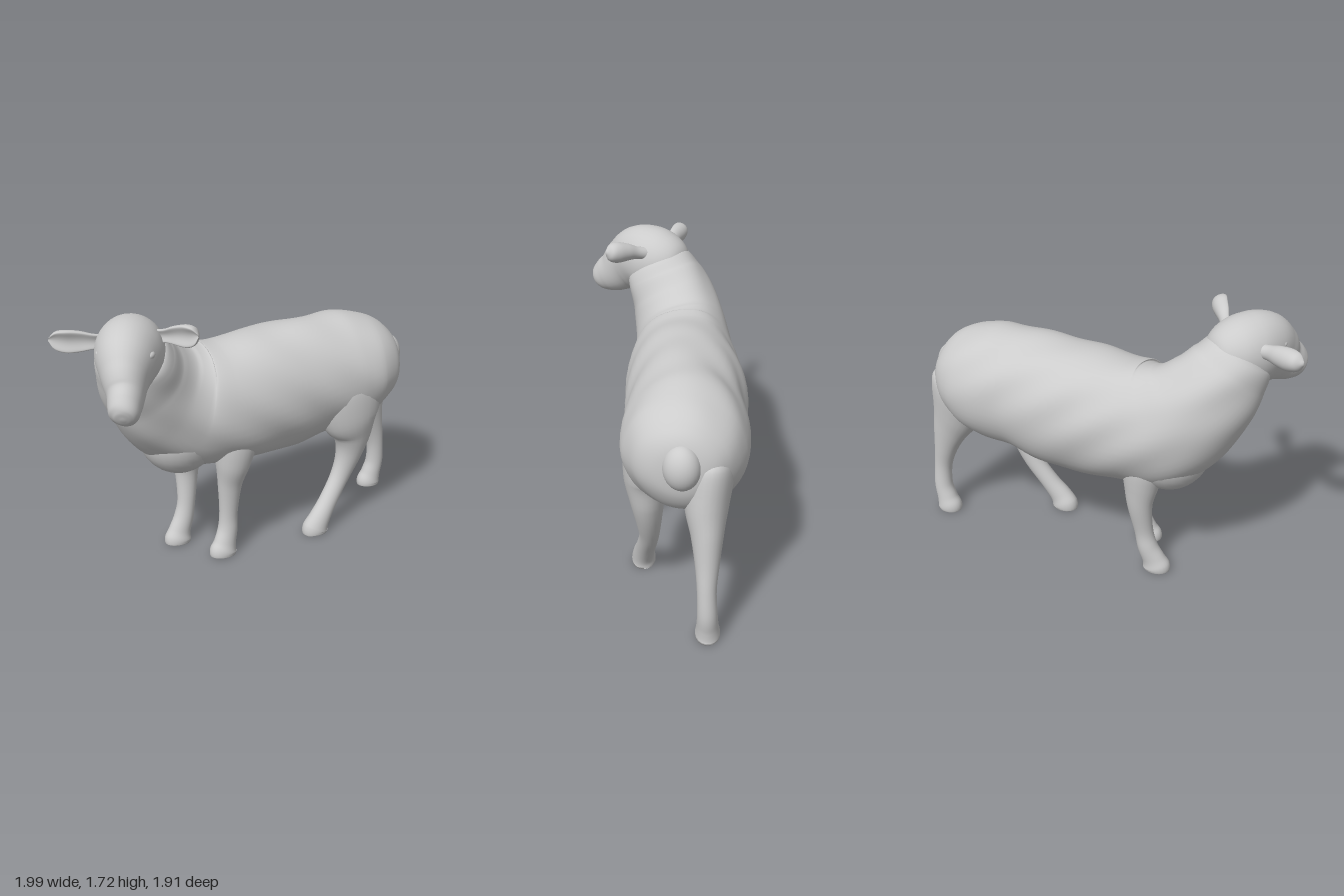
import * as THREE from 'three';

const material = new THREE.MeshStandardMaterial({ color: 0xcccccc, roughness: 0.9 });

// Smooth tube through rings [x, y, z, halfWidth, halfDepth, yaw of the width axis].
// dent hollows the +width side; lumps adds a soft woolly unevenness.
function loft(name, rings, { steps = 6, sides = 32, dent = 0, lumps = 0 } = {}) {
  const path = new THREE.CatmullRomCurve3(rings.map(r => new THREE.Vector3(r[0], r[1], r[2])), false, 'catmullrom');
  const size = new THREE.CatmullRomCurve3(rings.map(r => new THREE.Vector3(r[3], r[4], r[5])), false, 'catmullrom');
  const rows = (rings.length - 1) * steps;
  const pos = [], index = [];
  const put = p => pos.push(p.x, Math.max(p.y, 0.01), p.z);
  for (let i = 0; i <= rows; i++) {
    const c = path.getPoint(i / rows), t = path.getTangent(i / rows), k = size.getPoint(i / rows);
    const side = new THREE.Vector3(Math.cos(k.z), 0, Math.sin(k.z));
    const v = new THREE.Vector3().crossVectors(t, side).normalize();
    side.crossVectors(v, t).normalize();
    for (let j = 0; j < sides; j++) {
      const a = (j / sides) * Math.PI * 2, cos = Math.cos(a);
      const p = c.clone()
        .addScaledVector(side, Math.max(k.x, 0.004) * cos * (1 - dent * Math.max(0, cos)))
        .addScaledVector(v, Math.max(k.y, 0.004) * Math.sin(a));
      const bump = lumps * (Math.sin(13 * p.x + 9 * p.y) * Math.sin(11 * p.z - 8 * p.y) + 0.5 * Math.sin(23 * p.y + 17 * p.x));
      p.addScaledVector(p.clone().sub(c).normalize(), bump);
      put(p);
    }
  }
  for (let i = 0; i < rows; i++) {
    for (let j = 0; j < sides; j++) {
      const a = i * sides + j, b = i * sides + (j + 1) % sides;
      index.push(a, b, a + sides, b, b + sides, a + sides);
    }
  }
  // end caps
  const first = pos.length / 3, last = first + 1, base = rows * sides;
  put(path.getPoint(0));
  put(path.getPoint(1));
  for (let j = 0; j < sides; j++) {
    const n = (j + 1) % sides;
    index.push(first, n, j, last, base + j, base + n);
  }
  const g = new THREE.BufferGeometry();
  g.setAttribute('position', new THREE.Float32BufferAttribute(pos, 3));
  g.setIndex(index);
  g.computeVertexNormals();
  const mesh = new THREE.Mesh(g, material);
  mesh.name = name;
  return mesh;
}

function blob(name, [x, y, z], [rx, ry, rz], yaw = 0) {
  const mesh = new THREE.Mesh(new THREE.SphereGeometry(1, 32, 20), material);
  mesh.position.set(x, y, z);
  mesh.scale.set(rx, ry, rz);
  mesh.rotation.y = yaw;
  mesh.name = name;
  return mesh;
}

export function createModel() {
  const group = new THREE.Group();
  group.name = 'sheep';
  const Y = 0.94; // the body stands diagonally

  // woolly torso rising into the neck, rump first
  group.add(loft('torsoAndNeck', [
    [0.94, 1.05, -0.73, 0.02, 0.02, Y],
    [0.92, 1.05, -0.72, 0.15, 0.16, Y],
    [0.86, 1.05, -0.69, 0.25, 0.25, Y],
    [0.74, 1.05, -0.63, 0.33, 0.33, Y],
    [0.60, 1.04, -0.55, 0.35, 0.38, Y],
    [0.42, 1.03, -0.42, 0.34, 0.39, Y],
    [0.20, 1.01, -0.28, 0.36, 0.41, Y],
    [0.00, 1.00, -0.13, 0.355, 0.40, Y],
    [-0.18, 1.00, 0.00, 0.335, 0.39, Y],
    [-0.33, 1.03, 0.10, 0.31, 0.38, 0.85],
    [-0.45, 1.13, 0.21, 0.285, 0.34, 0.6],
    [-0.525, 1.28, 0.32, 0.26, 0.285, 0.3],
    [-0.55, 1.41, 0.41, 0.235, 0.245, 0.05],
    [-0.555, 1.50, 0.46, 0.20, 0.20, 0],
    [-0.555, 1.56, 0.50, 0.10, 0.10, 0],
  ], { sides: 48, lumps: 0.006 }));
  group.add(blob('chest', [-0.36, 0.87, 0.14], [0.26, 0.27, 0.25], Y));

  // head with tapering muzzle
  group.add(loft('head', [
    [-0.56, 1.52, 0.27, 0.02, 0.02, 0],
    [-0.56, 1.52, 0.30, 0.11, 0.11, 0],
    [-0.56, 1.52, 0.39, 0.175, 0.18, 0],
    [-0.56, 1.515, 0.51, 0.195, 0.215, 0],
    [-0.555, 1.495, 0.62, 0.175, 0.215, -0.04],
    [-0.545, 1.44, 0.72, 0.135, 0.18, -0.08],
    [-0.53, 1.38, 0.80, 0.105, 0.14, -0.1],
    [-0.525, 1.345, 0.865, 0.093, 0.118, -0.1],
    [-0.52, 1.32, 0.915, 0.08, 0.09, -0.1],
    [-0.52, 1.307, 0.94, 0.05, 0.055, -0.1],
    [-0.52, 1.303, 0.948, 0.01, 0.01, -0.1],
  ]));
  group.add(blob('leftEye', [-0.415, 1.565, 0.665], [0.024, 0.022, 0.035], -0.3));
  group.add(blob('rightEye', [-0.69, 1.565, 0.665], [0.024, 0.022, 0.035], 0.3));

  // cupped ears
  const F = Math.PI / 2;
  group.add(loft('leftEar', [
    [-0.42, 1.60, 0.47, 0.04, 0.04, F],
    [-0.36, 1.615, 0.50, 0.04, 0.04, F],
    [-0.30, 1.63, 0.53, 0.055, 0.055, F],
    [-0.235, 1.64, 0.56, 0.065, 0.065, F],
    [-0.19, 1.65, 0.58, 0.055, 0.05, F],
    [-0.165, 1.655, 0.59, 0.01, 0.01, F],
  ], { dent: 1.0 }));
  group.add(loft('rightEar', [
    [-0.70, 1.57, 0.50, 0.04, 0.04, F],
    [-0.76, 1.575, 0.525, 0.04, 0.045, F],
    [-0.83, 1.58, 0.545, 0.055, 0.06, F],
    [-0.90, 1.585, 0.565, 0.065, 0.065, F],
    [-0.96, 1.595, 0.575, 0.055, 0.05, F],
    [-0.995, 1.60, 0.58, 0.01, 0.01, F],
  ], { dent: 1.0 }));

  // short tail
  group.add(blob('tail', [0.90, 1.08, -0.73], [0.095, 0.13, 0.105]));

  // legs, shoulder or hip down to the flat sole: [x, y, z, halfWidth, halfDepth]
  const legs = {
    frontLeftLeg: [
      [-0.03, 0.95, 0.08, 0.09, 0.14], [-0.02, 0.80, 0.10, 0.115, 0.15], [-0.03, 0.65, 0.12, 0.10, 0.115],
      [-0.05, 0.50, 0.12, 0.07, 0.08], [-0.06, 0.30, 0.12, 0.054, 0.06], [-0.065, 0.18, 0.125, 0.058, 0.065],
      [-0.08, 0.09, 0.15, 0.06, 0.075], [-0.09, 0.04, 0.165, 0.07, 0.09], [-0.09, 0.01, 0.168, 0.066, 0.086],
    ],
    frontRightLeg: [
      [-0.36, 0.95, -0.02, 0.09, 0.14], [-0.355, 0.80, -0.03, 0.115, 0.14], [-0.35, 0.65, -0.04, 0.10, 0.11],
      [-0.35, 0.50, -0.05, 0.07, 0.08], [-0.35, 0.30, -0.02, 0.054, 0.06], [-0.365, 0.18, 0.00, 0.058, 0.065],
      [-0.39, 0.09, 0.03, 0.06, 0.075], [-0.40, 0.04, 0.045, 0.07, 0.09], [-0.40, 0.01, 0.048, 0.066, 0.086],
    ],
    hindLeftLeg: [
      [0.66, 1.12, -0.36, 0.08, 0.17], [0.66, 1.00, -0.35, 0.14, 0.25], [0.68, 0.80, -0.34, 0.13, 0.21],
      [0.70, 0.65, -0.36, 0.10, 0.135], [0.68, 0.50, -0.355, 0.075, 0.09], [0.63, 0.35, -0.32, 0.058, 0.067],
      [0.56, 0.20, -0.245, 0.058, 0.063], [0.51, 0.10, -0.19, 0.064, 0.075], [0.485, 0.04, -0.17, 0.072, 0.09],
      [0.485, 0.01, -0.168, 0.068, 0.086],
    ],
    hindRightLeg: [
      [0.66, 1.12, -0.74, 0.08, 0.15], [0.68, 1.00, -0.76, 0.13, 0.22], [0.75, 0.80, -0.79, 0.12, 0.17],
      [0.80, 0.65, -0.83, 0.09, 0.12], [0.84, 0.50, -0.86, 0.068, 0.08], [0.87, 0.35, -0.88, 0.054, 0.06],
      [0.875, 0.20, -0.89, 0.056, 0.062], [0.855, 0.10, -0.88, 0.062, 0.07], [0.84, 0.04, -0.872, 0.07, 0.085],
      [0.84, 0.01, -0.87, 0.066, 0.08],
    ],
  };
  for (const [name, rings] of Object.entries(legs)) {
    group.add(loft(name, rings.map(r => [...r, Y]), { sides: 24 }));
  }
  return group;
}
